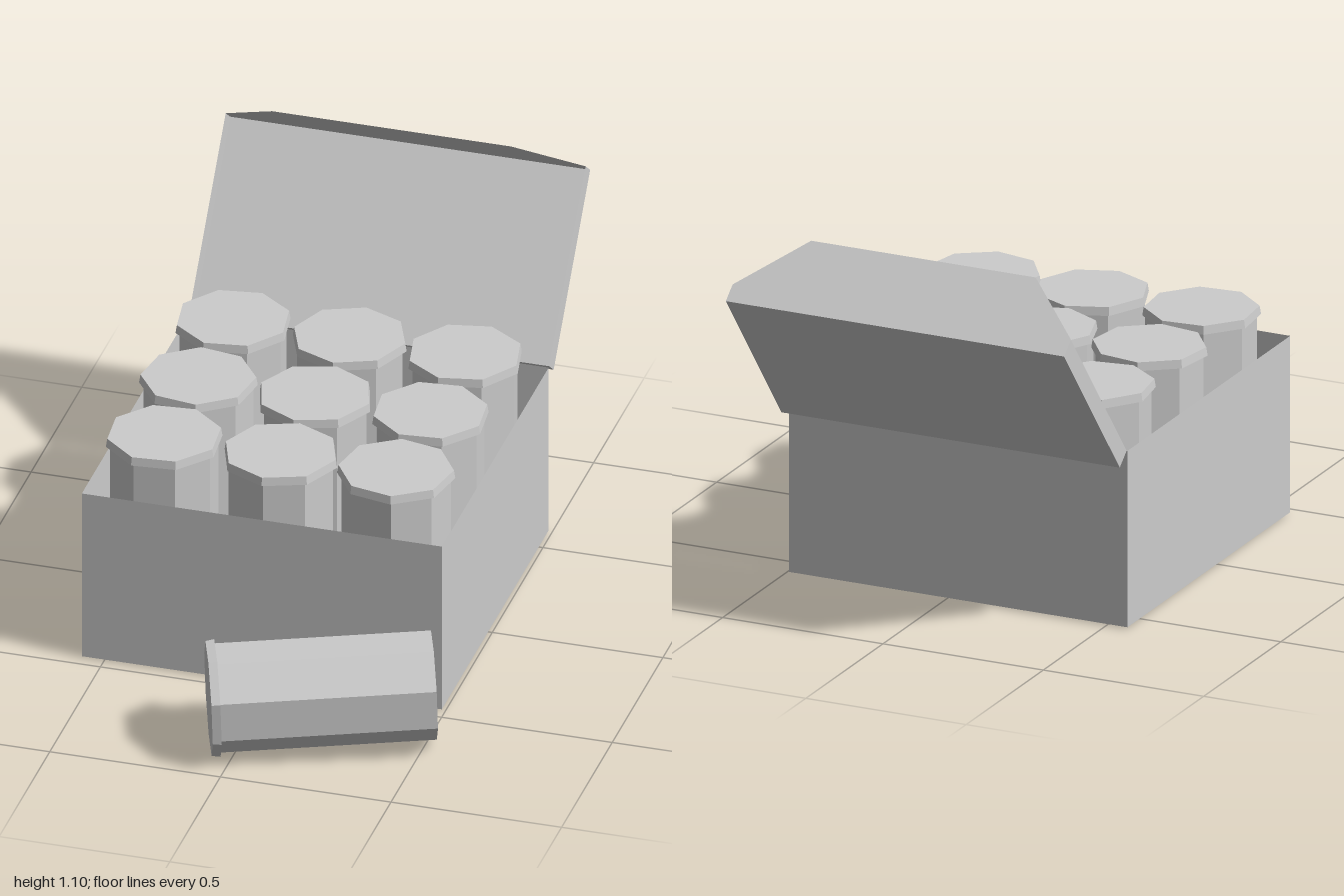
import * as THREE from 'three';

const material = new THREE.MeshStandardMaterial({ color: 0xcccccc, flatShading: true, side: THREE.DoubleSide });
const WIDTH = 1.055, CENTRE_X = -0.0375;

function addMesh(parent, name, geometry, y = 0, z = 0) {
  const mesh = new THREE.Mesh(geometry, material);
  mesh.name = name;
  mesh.position.set(0, y, z);
  parent.add(mesh);
  return mesh;
}

// Thin-walled box standing on y = 0 without its top face
function openBox(w, h, d) {
  const g = new THREE.BoxGeometry(w, h, d).translate(0, h / 2, 0);
  const index = Array.from(g.index.array);
  index.splice(12, 6);
  g.setIndex(index);
  g.clearGroups();
  return g;
}

// Eight-sided canister: open at the bottom, with a wider cap on top
function makeCanister(name, turn) {
  const can = new THREE.Group();
  can.name = name;
  const phase = Math.PI / 8 + turn;
  addMesh(can, 'canisterBody', new THREE.CylinderGeometry(0.155, 0.155, 0.61, 8, 1, true).rotateY(phase), 0.305);
  addMesh(can, 'canisterCap', new THREE.CylinderGeometry(0.163, 0.167, 0.025, 8).rotateY(phase), 0.6225);
  return can;
}

export function createModel() {
  const model = new THREE.Group();
  model.name = 'crateOfCanisters';

  // Open crate
  const crate = new THREE.Group();
  crate.name = 'crate';
  crate.position.set(CENTRE_X, 0.007, -0.063);
  addMesh(crate, 'crateWalls', openBox(WIDTH, 0.527, 1.055));
  model.add(crate);

  // Shallow tray lid, tipped back on the rear edge
  const lid = new THREE.Group();
  lid.name = 'lid';
  lid.position.set(CENTRE_X, 0.5, -0.64);
  lid.rotation.x = 0.895;
  const depth = 0.576, rim = 0.057;
  addMesh(lid, 'lidTray', openBox(WIDTH, rim, depth), 0, -depth / 2);

  // Tapered closing flap on the free edge of the lid
  const flap = new THREE.Shape();
  flap.moveTo(-WIDTH / 2, rim);
  flap.lineTo(WIDTH / 2, rim);
  flap.lineTo(0.35, 0.237);
  flap.lineTo(-0.35, 0.237);
  flap.closePath();
  addMesh(lid, 'lidFlap', new THREE.ShapeGeometry(flap), 0, -depth);
  model.add(lid);

  // Three by three canisters, each turned a little differently
  const turns = [0.15, 0.39, 0.2, -0.15, 0.3, 0.1, 0.09, 0.35, -0.2];
  [-0.405, -0.063, 0.275].forEach((z, row) => {
    [-0.38, -0.038, 0.3].forEach((x, col) => {
      const can = makeCanister('standingCanister', turns[row * 3 + col]);
      can.position.set(x, 0.02, z);
      model.add(can);
    });
  });

  // Loose canister lying in front of the crate
  const loose = makeCanister('lyingCanister', 0);
  loose.position.set(0.513, 0.175, 0.62);
  loose.rotation.set(0, 0.356, Math.PI / 2 + 0.03, 'YXZ');
  model.add(loose);

  return model;
}
